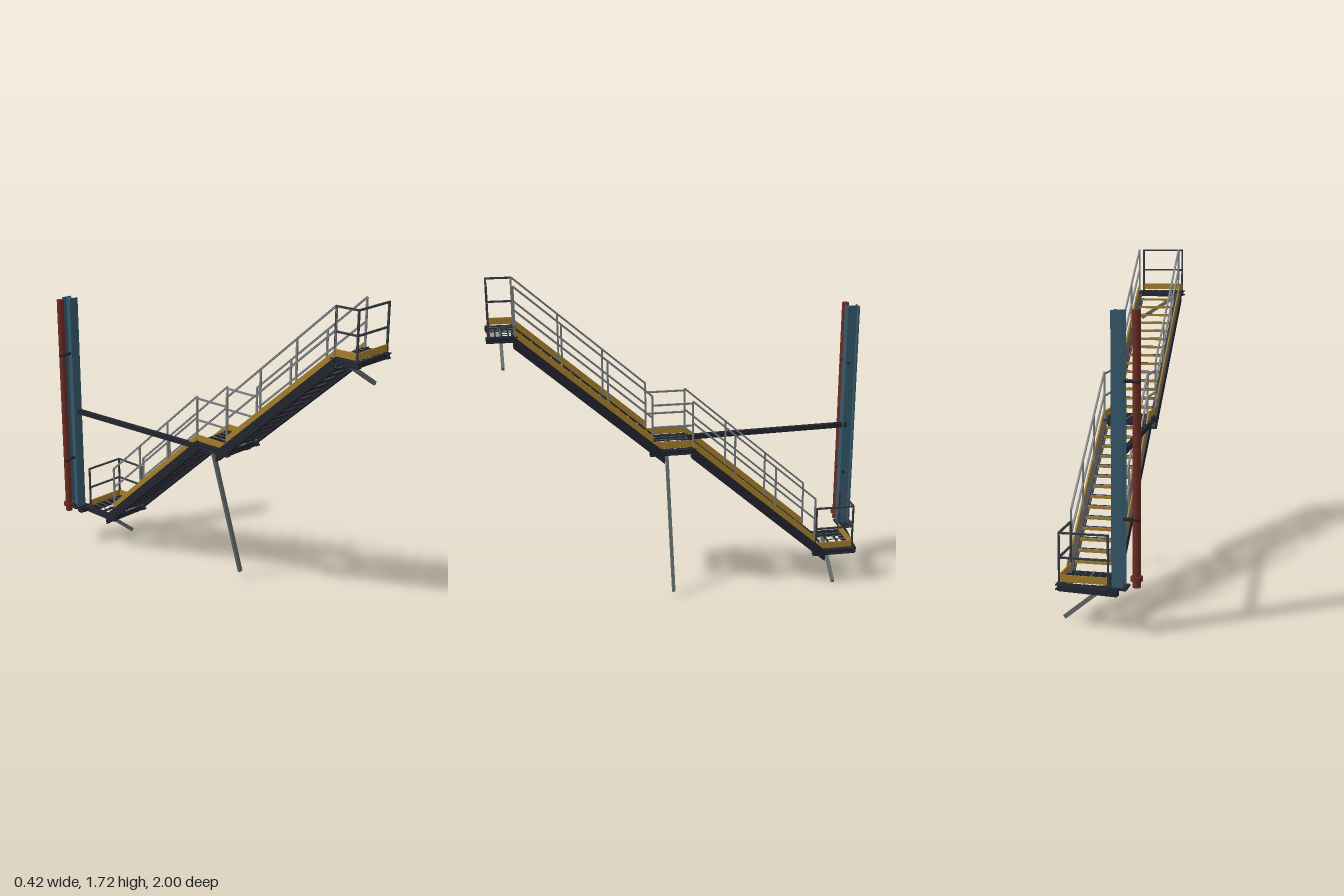
import * as THREE from 'three';

const mat = (name, color) => {
  const m = new THREE.MeshStandardMaterial({ color });
  m.name = name;
  return m;
};

export function createModel() {
  const root = new THREE.Group();
  root.name = 'accessStair';
  const darkSteel = mat('darkSteel', 0x23252f);
  const railGrey = mat('railGrey', 0x7c8082);
  const guardGrey = mat('guardGrey', 0x373c40);
  const legGrey = mat('legGrey', 0x626b6b);
  const yellow = mat('safetyYellow', 0xa57e2a);
  const blue = mat('columnBlue', 0x35586b);
  const red = mat('pipeRed', 0x6b2c22);

  const box = (parent, name, m, x, y, z, w, h, d) => {
    const b = new THREE.Mesh(new THREE.BoxGeometry(w, h, d), m);
    b.name = name;
    b.position.set(x, y, z);
    parent.add(b);
    return b;
  };
  // square bar from point a to point b; w is its horizontal width, h its depth
  const bar = (parent, name, m, a, b, w, h = w) => {
    const A = new THREE.Vector3(...a), B = new THREE.Vector3(...b);
    const mesh = new THREE.Mesh(new THREE.BoxGeometry(w, h, A.distanceTo(B)), m);
    mesh.name = name;
    mesh.position.copy(A).add(B).multiplyScalar(0.5);
    mesh.lookAt(B);
    parent.add(mesh);
    return mesh;
  };
  const cyl = (parent, name, m, x, y, z, r, h) => {
    const c = new THREE.Mesh(new THREE.CylinderGeometry(r, r, h, 20), m);
    c.name = name;
    c.position.set(x, y, z);
    parent.add(c);
  };

  const XL = 0.19, XR = -0.045, XM = (XL + XR) / 2, SLOPE = 0.873;
  const R = 0.009;

  // sloping plate whose vertical ends follow the flight, extruded across x
  const slopedPlate = (parent, name, m, x, w, z0, z1, yAt, h) => {
    const s = new THREE.Shape([
      new THREE.Vector2(-z0, yAt(z0)), new THREE.Vector2(-z0, yAt(z0) + h),
      new THREE.Vector2(-z1, yAt(z1) + h), new THREE.Vector2(-z1, yAt(z1)),
    ]);
    const g = new THREE.ExtrudeGeometry(s, { depth: w, bevelEnabled: false });
    g.rotateY(Math.PI / 2);
    g.translate(x - w / 2, 0, 0);
    const p = new THREE.Mesh(g, m);
    p.name = name;
    parent.add(p);
  };

  // one flight: zt, yt are the upper end and the top of its toe board there
  const flight = (name, zt, yt) => {
    const g = new THREE.Group();
    g.name = name;
    const top = z => yt + SLOPE * (z - zt);
    const zb = zt - 0.67;
    for (const x of [XL, XR]) {
      const out = x === XL ? 1 : -1;
      // channel stringer: web with two flanges
      slopedPlate(g, 'stringerWeb', darkSteel, x + out * 0.013, 0.01, zb - 0.06, zt + 0.01, z => top(z) - 0.1, 0.062);
      for (const o of [0.1, 0.047])
        slopedPlate(g, 'stringerFlange', darkSteel, x, 0.036, zb - 0.06, zt + 0.01, z => top(z) - o, 0.009);
      slopedPlate(g, 'toeBoard', yellow, x + out * 0.005, 0.006, zb, zt, z => top(z) - 0.04, 0.04);
      // handrail, knee rail and posts
      for (const h of [0.21, 0.095])
        bar(g, 'handrail', railGrey, [x, top(zb) + h, zb], [x, top(zt) + h, zt], R);
      for (let i = 0; i < 4; i++) {
        const z = zb + (i * 0.67) / 3;
        box(g, 'railPost', railGrey, x, top(z) + 0.085, z, R, 0.25, R);
      }
    }
    // open grating treads with painted nosing
    const n = 14, w = XL - XR - 0.034;
    for (let i = 0; i < n; i++) {
      const z = zb - 0.005 + ((i + 0.5) * 0.68) / n;
      const y = top(z) - 0.065;
      for (let k = 0; k < 3; k++)
        box(g, 'treadSlat', k === 1 ? railGrey : darkSteel, XM, y, z - 0.012 + k * 0.014, w, 0.011, 0.008);
      box(g, 'treadNosing', yellow, XM, y + 0.001, z - 0.019, w, 0.013, 0.006);
    }
    root.add(g);
  };
  flight('upperFlight', 0.86, 1.508);
  flight('lowerFlight', -0.02, 0.883);

  // landing between z0 and z1; y is the frame bottom; sides and ends list the guarded edges
  const landing = (name, y, z0, z1, sides, ends, m) => {
    const g = new THREE.Group();
    g.name = name;
    const zc = (z0 + z1) / 2, d = z1 - z0, w = XL - XR;
    for (const x of [XL, XR]) {
      box(g, 'frameWeb', darkSteel, x, y + 0.013, zc, 0.012, 0.026, d + 0.03);
      for (const h of [0.003, 0.025]) box(g, 'frameFlange', darkSteel, x, y + h, zc, 0.03, 0.006, d + 0.03);
    }
    for (const z of [z0, z1]) box(g, 'frameEnd', darkSteel, XM, y + 0.014, z, w, 0.028, 0.014);
    // grating bars
    for (let i = 1; i < 4; i++)
      box(g, 'gratingBar', darkSteel, XM, y + 0.026, z0 + (d * i) / 4, w, 0.012, 0.006);
    for (let i = 1; i < 6; i++)
      box(g, 'gratingRod', legGrey, XR + (w * i) / 6, y + 0.03, zc, i === 3 ? 0.006 : 0.002, 0.004, d);
    // guard rails and toe boards
    for (const x of sides) {
      box(g, 'toeBoard', yellow, x, y + 0.053, zc, 0.006, 0.034, d);
      for (const h of [0.27, 0.152]) box(g, 'guardRail', m, x, y + h, zc, R, R, d);
      for (const z of [z0, z1]) box(g, 'guardPost', m, x, y + 0.147, z, R, 0.255, R);
    }
    for (const z of ends) {
      box(g, 'endToeBoard', yellow, XM, y + 0.053, z, w, 0.034, 0.006);
      for (const h of [0.27, 0.152]) box(g, 'endRail', m, XM, y + h, z, w, R, R);
      for (const x of [XL, XR]) box(g, 'endPost', m, x, y + 0.147, z, R, 0.255, R);
    }
    root.add(g);
  };
  landing('topLanding', 1.445, 0.86, 0.985, [XR], [0.985], guardGrey);
  landing('middleLanding', 0.813, -0.02, 0.19, [XL, XR], [], railGrey);
  landing('bottomLanding', 0.18, -0.905, -0.7, [XL], [-0.905], guardGrey);

  // slanting support legs
  bar(root, 'topLeg', legGrey, [-0.03, 1.45, 0.925], [0.19, 1.312, 0.925], 0.016, 0.02);
  bar(root, 'middleLeg', legGrey, [-0.035, 0.82, 0.083], [0.193, 0.033, 0.083], 0.016, 0.022);
  bar(root, 'bottomLeg', legGrey, [-0.02, 0.185, -0.805], [0.193, 0.012, -0.805], 0.016, 0.02);

  // upright I-section column on a base plate
  const col = new THREE.Group();
  col.name = 'column';
  const CX = -0.107, CZ = -0.947;
  for (const s of [-1, 1]) box(col, 'columnFlange', blue, CX, 0.857, CZ + s * 0.029, 0.056, 1.26, 0.008);
  box(col, 'columnWeb', blue, CX, 0.857, CZ, 0.008, 1.26, 0.05);
  box(col, 'basePlate', darkSteel, CX, 0.226, -0.955, 0.09, 0.008, 0.09);
  root.add(col);

  // beams tying the column to the landings
  bar(root, 'longBrace', darkSteel, [-0.1, 0.82, -0.94], [-0.05, 0.82, 0.0], 0.024, 0.026);
  bar(root, 'baseArm', darkSteel, [-0.1, 0.192, -0.945], [0.19, 0.192, -0.912], 0.036, 0.028);

  // riser pipe with collar and brackets
  const pipe = new THREE.Group();
  pipe.name = 'riserPipe';
  const PX = -0.187, PZ = -0.935;
  cyl(pipe, 'pipe', red, PX, 0.856, PZ, 0.019, 1.264);
  cyl(pipe, 'pipeCollar', red, PX, 0.265, PZ, 0.029, 0.02);
  for (const y of [0.54, 1.17]) {
    box(pipe, 'pipeBracket', darkSteel, -0.135, y, PZ, 0.08, 0.014, 0.014);
    cyl(pipe, 'pipeClamp', darkSteel, PX, y, PZ, 0.0195, 0.012);
  }
  root.add(pipe);

  return root;
}
